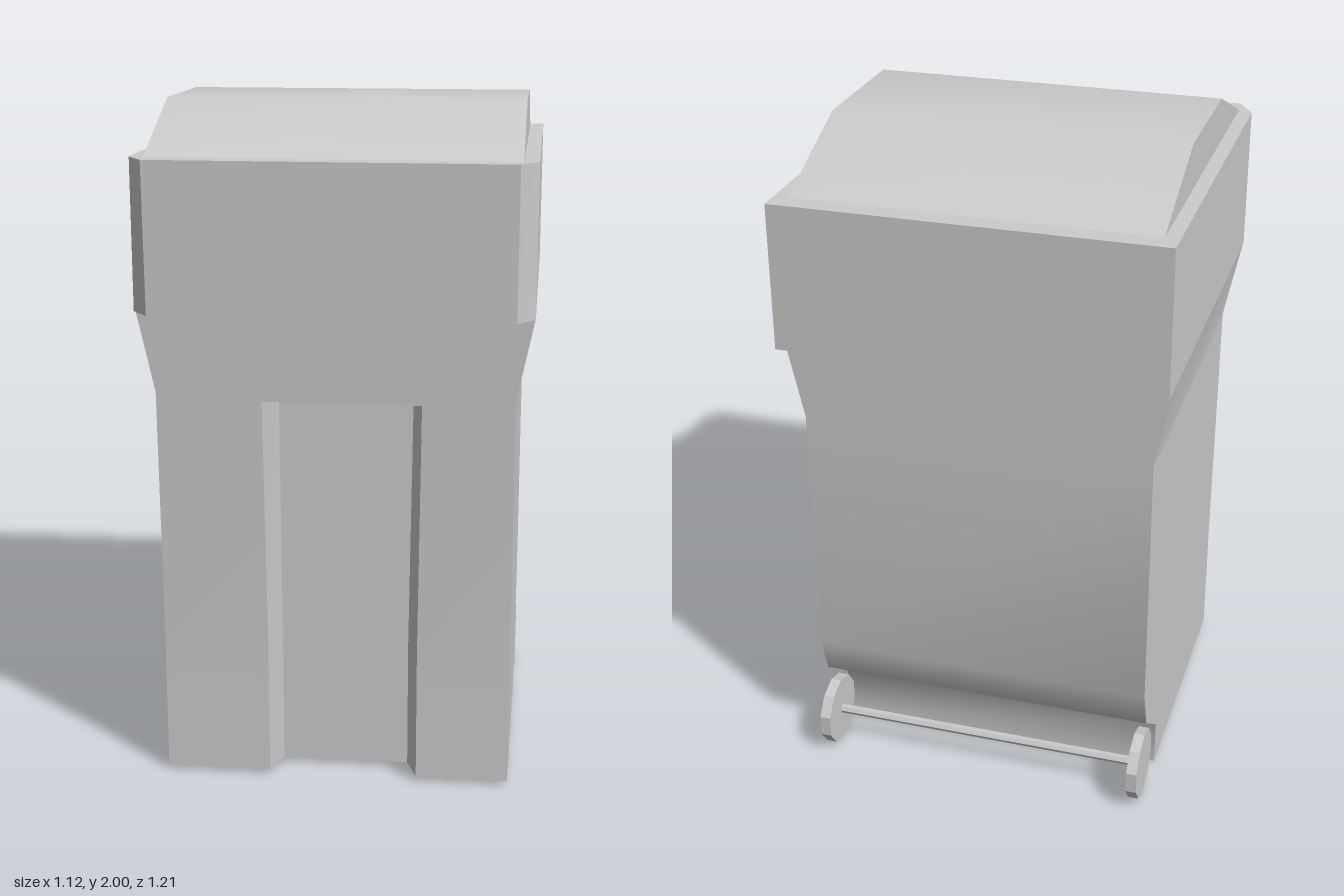
import * as THREE from 'three';
import { toCreasedNormals } from 'three/addons/utils/BufferGeometryUtils.js';

const grey = new THREE.MeshStandardMaterial({ color: 0xcccccc });
const shell = new THREE.MeshStandardMaterial({ color: 0xcccccc, side: THREE.DoubleSide });
const faceted = new THREE.MeshStandardMaterial({ color: 0xcccccc, flatShading: true });

// Horizontal outline: back corners, side points, front corners and a front channel reaching zIn
function ring({ y, w, back, front, wFront = w, zSide = front - 0.08, zIn = front, dx = 0 }) {
  return [
    [w, back], [w, zSide], [wFront, front],
    [0.24 + dx, front], [0.207 + dx, zIn], [-0.172 - dx / 2, zIn], [-0.202 - dx / 2, front],
    [-wFront, front], [-w, zSide], [-w, back],
  ].map(([x, z]) => [x, y, z]);
}

// Skin a stack of closed outlines
function loft(rings, crease) {
  const n = rings[0].length, index = [];
  for (let i = 0; i < rings.length - 1; i++) {
    for (let j = 0; j < n; j++) {
      const a = i * n + j, b = i * n + (j + 1) % n;
      index.push(a, a + n, b, a + n, b + n, b);
    }
  }
  const g = new THREE.BufferGeometry();
  g.setAttribute('position', new THREE.Float32BufferAttribute(rings.flat(2), 3));
  g.setIndex(index);
  return toCreasedNormals(g, crease);
}

export function createModel() {
  const model = new THREE.Group();
  const add = (name, geometry, material) => {
    const mesh = new THREE.Mesh(geometry, material);
    mesh.name = name;
    model.add(mesh);
    return mesh;
  };

  // Body: hollow, open underneath, cut away at the back for the wheels
  const w = 0.513, zIn = 0.378;
  const top = ring({ y: 1.43, w: 0.562, back: -0.545, front: 0.512 });
  add('body', loft([
    ring({ y: 0.015, w, back: -0.35, front: 0.468, zIn }),
    ring({ y: 0.16, w, back: -0.35, front: 0.468, zIn }),
    ring({ y: 0.275, w, back: -0.5, front: 0.468, zIn }),
    ring({ y: 0.4, w, back: -0.542, front: 0.468, zIn }),
    ring({ y: 1.17, w, back: -0.542, front: 0.5, zIn, dx: 0.01 }),
    ring({ y: 1.17, w, back: -0.542, front: 0.5, dx: 0.01 }), // closes the channel
    ring({ y: 1.19, w, back: -0.542, front: 0.501 }),
    top,
  ], 1), shell);

  // Rim: ledge, upright band with chamfered front corners, flat top border
  const band = { w: 0.562, wFront: 0.513, zSide: 0.53, back: -0.607 };
  add('rim', loft([
    top,
    ring({ ...band, y: 1.43, front: 0.592 }),
    ring({ ...band, y: 1.862, front: 0.608 }),
    ring({ y: 1.862, w: 0.515, back: -0.54, front: 0.54 }),
  ], 0.4), shell);

  // Lid: shallow domed profile running across the width
  const profile = new THREE.Shape(
    [[-0.55, 1.86], [0.55, 1.86], [0.21, 2], [-0.205, 2]].map(([z, y]) => new THREE.Vector2(z, y)));
  const lid = new THREE.ExtrudeGeometry(profile, { depth: 1.04, bevelEnabled: false });
  lid.rotateY(-Math.PI / 2).translate(0.52, 0, 0);
  add('lid', toCreasedNormals(lid, 0.6), grey);

  // Wheels and axle
  const wheelY = 0.108, wheelZ = -0.482;
  for (const [name, x] of [['leftWheel', 0.497], ['rightWheel', -0.49]]) {
    const g = new THREE.CylinderGeometry(0.108, 0.108, 0.032, 10);
    g.rotateY(Math.PI / 2).rotateZ(Math.PI / 2);
    add(name, g, faceted).position.set(x, wheelY, wheelZ);
  }
  const axle = new THREE.CylinderGeometry(0.014, 0.014, 0.98, 6).rotateZ(Math.PI / 2);
  add('axle', axle, faceted).position.set(0, wheelY, wheelZ);

  return model;
}
